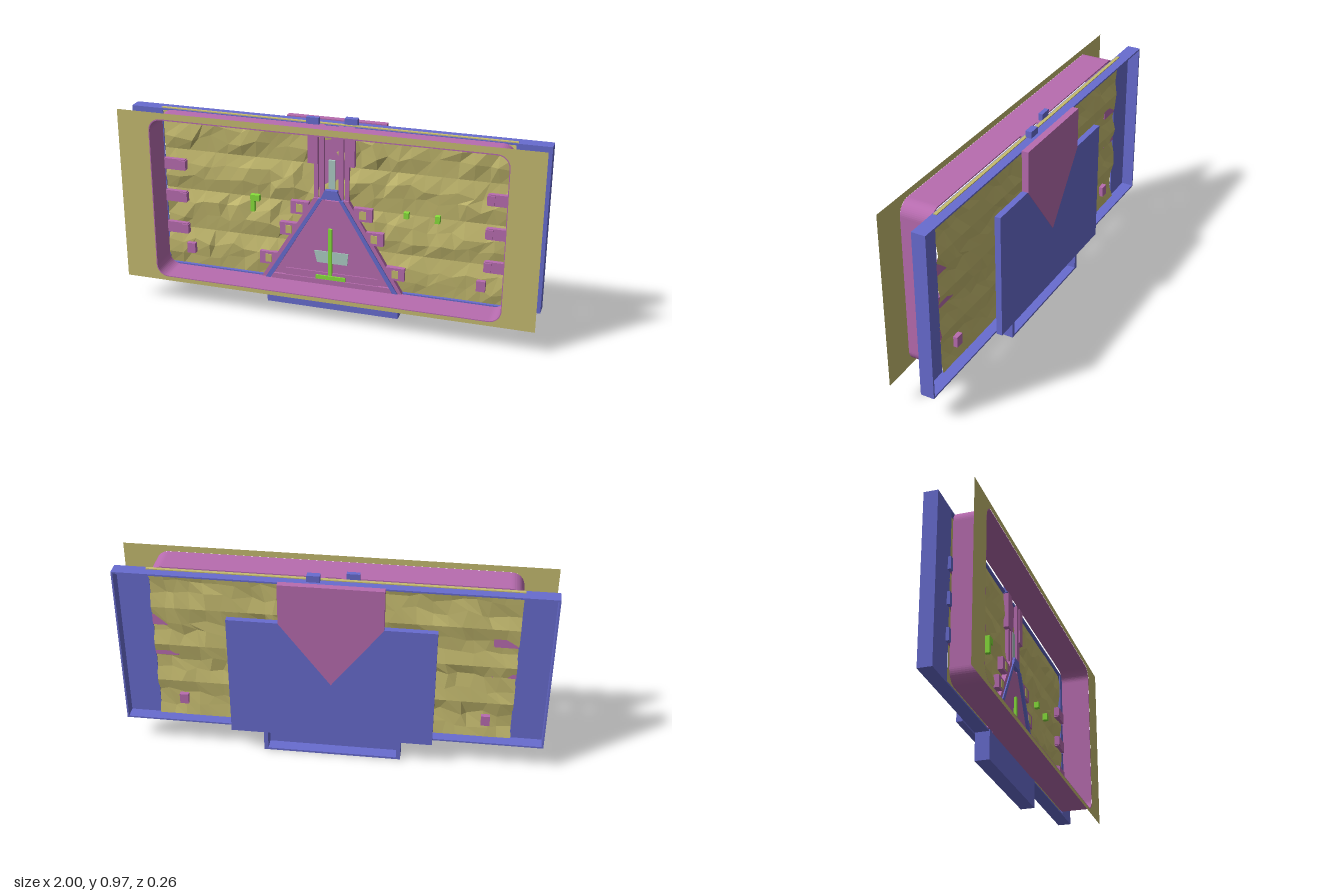
import * as THREE from 'three';

const mat = (color, flatShading = false) =>
  new THREE.MeshStandardMaterial({ color, flatShading, side: THREE.DoubleSide });
const BLUE = mat(0x686cd0), PINK = mat(0xb86cb0), STONE = mat(0xc6bc70, true);
const GREEN = mat(0x88e03c), PALE = mat(0xacccc4);

export function createModel() {
  const root = new THREE.Group();

  const add = (name, geometry, material, parent = root) => {
    const mesh = new THREE.Mesh(geometry, material);
    mesh.name = name;
    parent.add(mesh);
    return mesh;
  };
  // Box given by its limits
  const box = (name, material, x0, x1, y0, y1, z0, z1) => {
    const g = new THREE.BoxGeometry(x1 - x0, y1 - y0, z1 - z0);
    g.translate((x0 + x1) / 2, (y0 + y1) / 2, (z0 + z1) / 2);
    return add(name, g, material);
  };
  // Upright prism from an outline in x, y
  const prism = (name, material, outline, z0, z1) => {
    const shape = outline instanceof THREE.Shape
      ? outline : new THREE.Shape(outline.map(([x, y]) => new THREE.Vector2(x, y)));
    const g = new THREE.ExtrudeGeometry(shape, { depth: z1 - z0, bevelEnabled: false, curveSegments: 6 });
    g.translate(0, 0, z0);
    return add(name, g, material);
  };
  const roundRect = (Type, w, y0, y1, r) => {
    const s = new Type();
    s.moveTo(-w + r, y0);
    s.lineTo(w - r, y0); s.absarc(w - r, y0 + r, r, -Math.PI / 2, 0);
    s.lineTo(w, y1 - r); s.absarc(w - r, y1 - r, r, 0, Math.PI / 2);
    s.lineTo(-w + r, y1); s.absarc(-w + r, y1 - r, r, Math.PI / 2, Math.PI);
    s.lineTo(-w, y0 + r); s.absarc(-w + r, y0 + r, r, Math.PI, Math.PI * 1.5);
    return s;
  };
  const rect = (x0, x1, y0, y1, Type = THREE.Shape) =>
    new Type([[x0, y0], [x1, y0], [x1, y1], [x0, y1]].map(([x, y]) => new THREE.Vector2(x, y)));

  // Thin front surround with a rounded opening
  const surround = rect(-1, 1, 0.115, 0.97);
  surround.holes.push(roundRect(THREE.Path, 0.845, 0.135, 0.94, 0.06));
  const face = new THREE.ShapeGeometry(surround, 6);
  face.translate(0, 0, 0.128);
  add('frontSurround', face, STONE);

  // Deep lining between the surround and the rear tray
  const lining = roundRect(THREE.Shape, 0.847, 0.133, 0.94, 0.062);
  lining.holes.push(roundRect(THREE.Path, 0.841, 0.139, 0.934, 0.056));
  prism('lining', PINK, lining, -0.02, 0.127);

  // Stone back wall: rows of uneven faceted blocks
  let seed = 7;
  const rand = () => (seed = (seed * 16807) % 2147483647) / 2147483647;
  const wall = new THREE.PlaneGeometry(1.69, 0.81, 26, 12);
  const pos = wall.attributes.position;
  for (let i = 0; i < pos.count; i++) {
    const x = pos.getX(i), y = pos.getY(i);
    const inside = Math.abs(x) < 0.84 && Math.abs(y) < 0.4;
    const joint = Math.floor(i / 27) % 3 === 0;
    pos.setXYZ(i, x + (inside ? (rand() - 0.5) * 0.045 : 0),
      y + 0.537 + (inside && !joint ? (rand() - 0.5) * 0.04 : 0),
      joint ? -0.046 : -0.043 + rand() * 0.017);
  }
  add('stoneWall', wall, STONE);
  box('wallTopEdge', STONE, -0.85, 0.85, 0.936, 0.944, -0.052, -0.036);

  // Rear tray: front plate with opening, and rim walls open to the back
  const plate = rect(-1, 1, 0.132, 0.94);
  plate.holes.push(rect(-0.842, 0.842, 0.14, 0.932, THREE.Path));
  prism('trayPlate', BLUE, plate, -0.036, -0.03);
  const rim = rect(-1, 1, 0.132, 0.94);
  rim.holes.push(rect(-0.992, 0.992, 0.14, 0.932, THREE.Path));
  prism('trayRim', BLUE, rim, -0.095, -0.036);

  // Hollow foot below the tray
  box('footFront', BLUE, -0.33, 0.33, 0, 0.14, -0.036, -0.026);
  box('footBottom', BLUE, -0.33, 0.33, 0, 0.01, -0.094, -0.036);
  for (const s of [-1, 1])
    box('footSide', BLUE, s * 0.32 - 0.01, s * 0.32 + 0.01, 0, 0.135, -0.094, -0.036);

  // Rear cover and its pointed plate
  box('rearCover', BLUE, -0.48, 0.48, 0.125, 0.745, -0.125, -0.096);
  prism('rearPointedPlate', PINK,
    [[-0.24, 0.945], [-0.24, 0.745], [0, 0.43], [0.24, 0.745], [0.24, 0.945]], -0.128, -0.096);

  // Central hopper: tapered panel, base steps and cap
  prism('hopperPanel', PINK, [[-0.31, 0.14], [0.31, 0.14], [0.05, 0.57], [-0.05, 0.57]], -0.036, -0.02);
  box('hopperBase', PINK, -0.3, 0.3, 0.136, 0.165, -0.03, -0.008);
  box('hopperStep', PINK, -0.23, 0.23, 0.165, 0.2, -0.03, -0.014);
  prism('hopperCap', BLUE, [[-0.05, 0.58], [0.05, 0.58], [0.03, 0.625], [-0.03, 0.625]], -0.035, -0.008);

  // Neck above the hopper
  box('neckBack', PINK, -0.07, 0.07, 0.56, 0.94, -0.045, -0.036);
  box('neckStrip', PALE, -0.016, 0.016, 0.63, 0.77, -0.036, -0.024);

  for (const s of [-1, 1]) {
    const span = (name, m, a, b, ...rest) => box(name, m, Math.min(s * a, s * b), Math.max(s * a, s * b), ...rest);
    // Neck rails and slanted hopper edges
    span('neckOuterRail', PINK, 0.065, 0.113, 0.75, 0.94, -0.04, -0.015);
    span('neckInnerRail', PINK, 0.035, 0.058, 0.56, 0.94, -0.04, -0.02);
    span('neckLowerRail', PINK, 0.066, 0.085, 0.56, 0.75, -0.04, -0.022);
    prism('hopperEdgeOuter', PINK, [[s * 0.35, 0.14], [s * 0.33, 0.14], [s * 0.06, 0.58], [s * 0.085, 0.58]], -0.036, -0.012);
    prism('hopperEdgeInner', BLUE, [[s * 0.33, 0.14], [s * 0.305, 0.14], [s * 0.04, 0.58], [s * 0.06, 0.58]], -0.036, -0.006);

    // Fixing lugs beside the hopper, each with a stone-coloured insert
    for (const [x, y] of [[0.155, 0.52], [0.21, 0.405], [0.315, 0.24]]) {
      span('lug', PINK, x - 0.045, x + 0.045, y - 0.032, y + 0.032, -0.038, -0.012);
      span('lugInsert', STONE, x - 0.016, x + 0.016, y - 0.02, y + 0.02, -0.014, -0.009);
    }
    // Side brackets
    for (const y of [0.335, 0.5, 0.665]) {
      span('sideBracket', PINK, 0.735, 0.845, y - 0.025, y + 0.03, -0.036, -0.014);
      span('bracketTip', PINK, 0.73, 0.765, y - 0.02, y + 0.025, -0.036, -0.008);
      span('bracketTab', BLUE, 0.845, 0.87, y - 0.03, y + 0.03, -0.031, -0.016);
    }
    span('smallBracket', PINK, 0.7, 0.742, 0.21, 0.262, -0.055, -0.012);
  }

  // Pale label panel and green markers
  prism('panelInset', PALE, [[-0.07, 0.25], [0.08, 0.25], [0.085, 0.31], [-0.085, 0.31]], -0.02, -0.015);
  for (const [x0, x1, y0, y1] of [
    [-0.012, 0.006, 0.19, 0.43], [-0.075, 0.072, 0.166, 0.186],
    [-0.4, -0.355, 0.53, 0.56], [-0.4, -0.38, 0.475, 0.53],
    [0.35, 0.374, 0.53, 0.56], [0.497, 0.52, 0.525, 0.56]])
    box('greenMarker', GREEN, x0, x1, y0, y1, -0.03, -0.007);

  // Two clips on the top edge
  box('topClipFront', BLUE, -0.12, -0.06, 0.93, 0.972, -0.037, -0.016);
  box('topClipRear', BLUE, 0.055, 0.115, 0.93, 0.972, -0.075, -0.045);

  return root;
}
